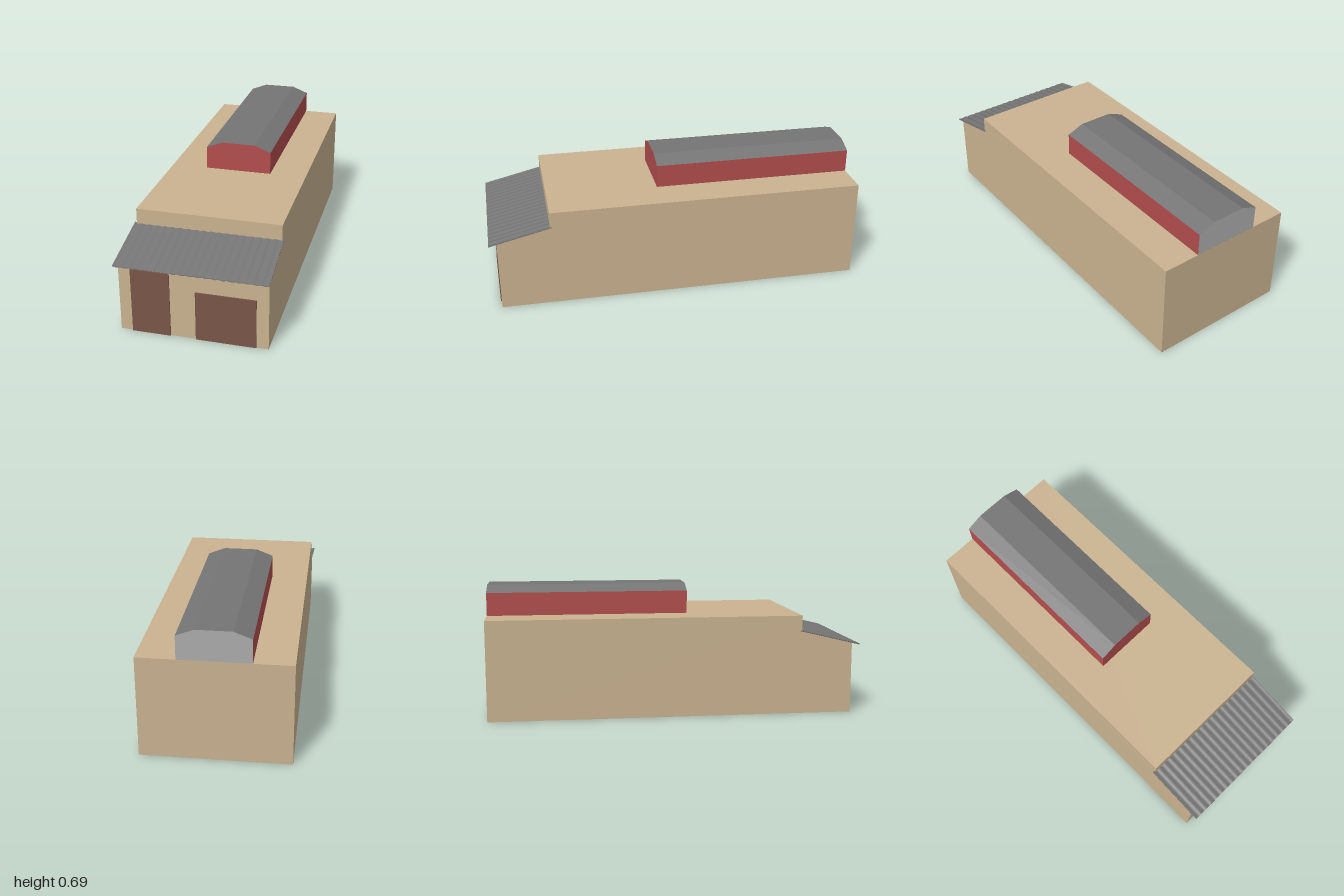
import * as THREE from 'three';

const flat = (name, color, side = THREE.FrontSide) =>
  Object.assign(new THREE.MeshStandardMaterial({ color, side }), { name });

// Flat panels, each given by four corners, counter-clockwise from outside
function panels(name, material, quads) {
  const pos = quads.flatMap(([a, b, c, d]) => [a, b, c, a, c, d].flat());
  const geo = new THREE.BufferGeometry();
  geo.setAttribute('position', new THREE.Float32BufferAttribute(pos, 3));
  geo.computeVertexNormals();
  const mesh = new THREE.Mesh(geo, material);
  mesh.name = name;
  return mesh;
}

export function createModel() {
  const wall = flat('tan wall', 0xcab391, THREE.DoubleSide);
  const red = flat('red vent', 0xb34d4d, THREE.DoubleSide);
  const roof = flat('grey roof', 0x757575, THREE.DoubleSide);
  const pale = flat('pale grey end', 0xacacac, THREE.DoubleSide);
  const brown = flat('brown door', 0x795548);
  const group = new THREE.Group();

  const L = -0.376, R = 0.38, H = 0.535, B = -1, M = 0.68, F = 0.958;

  // Main hall, open underneath
  group.add(panels('hall', wall, [
    [[L, 0, M], [R, 0, M], [R, H, M], [L, H, M]],
    [[R, 0, B], [L, 0, B], [L, H, B], [R, H, B]],
    [[R, 0, M], [R, 0, B], [R, H, B], [R, H, M]],
    [[L, 0, B], [L, 0, M], [L, H, M], [L, H, B]],
    [[L, H, M], [R, H, M], [R, H, B], [L, H, B]],
  ]));

  // Lower front bay, its sides sloping under the awning
  const lo = 0.384, hi = 0.45;
  group.add(panels('frontBay', wall, [
    [[L, 0, F], [R, 0, F], [R, lo, F], [L, lo, F]],
    [[R, 0, F], [R, 0, M], [R, hi, M], [R, lo, F]],
    [[L, 0, M], [L, 0, F], [L, lo, F], [L, hi, M]],
  ]));

  // Doors
  for (const [name, x0, x1, h] of [['tallDoor', -0.314, -0.116, 0.348], ['wideDoor', 0.014, 0.319, 0.265]]) {
    const door = new THREE.Mesh(new THREE.BoxGeometry(x1 - x0, h, 0.006), brown);
    door.position.set((x0 + x1) / 2, h / 2, F + 0.003);
    door.name = name;
    group.add(door);
  }

  // Corrugated awning: a wavy strip extruded forward, then sheared downhill
  const waves = 19, steps = waves * 8, half = 0.388, thick = 0.004;
  const top = [], under = [];
  for (let i = 0; i <= steps; i++) {
    const x = -half + (2 * half * i) / steps;
    const y = 0.0018 * Math.cos((i / 8) * Math.PI * 2);
    top.push(new THREE.Vector2(x, y));
    under.unshift(new THREE.Vector2(x, y - thick));
  }
  const sheet = new THREE.ExtrudeGeometry(new THREE.Shape([...under, ...top]),
    { depth: 0.328, bevelEnabled: false });
  sheet.applyMatrix4(new THREE.Matrix4().set(
    1, 0, 0, 0,
    0, 1, -0.238, 0.455,
    0, 0, 1, 0.672,
    0, 0, 0, 1));
  sheet.computeVertexNormals();
  const awning = new THREE.Mesh(sheet, roof);
  awning.name = 'awning';
  group.add(awning);

  // Raised roof vent: red walls, three-sided grey roof, pale back end
  const section = [[0.182, H], [0.182, 0.658], [0.092, 0.693], [-0.089, 0.693], [-0.179, 0.658], [-0.179, H]];
  const zf = 0.08;
  const strip = (i) => {
    const [a, b] = [section[i], section[i + 1]];
    return [[...a, zf], [...a, B], [...b, B], [...b, zf]];
  };
  group.add(panels('ventWalls', red, [strip(0), strip(4)]));
  group.add(panels('ventRoof', roof, [strip(1), strip(2), strip(3)]));
  const outline = new THREE.Shape(section.map(([x, y]) => new THREE.Vector2(x, y)));
  for (const [name, mat, z] of [['ventFront', red, zf], ['ventBack', pale, B]]) {
    const end = new THREE.Mesh(new THREE.ShapeGeometry(outline), mat);
    if (z === B) end.geometry.scale(1, 1, -1);
    end.position.z = z;
    end.name = name;
    group.add(end);
  }
  return group;
}
